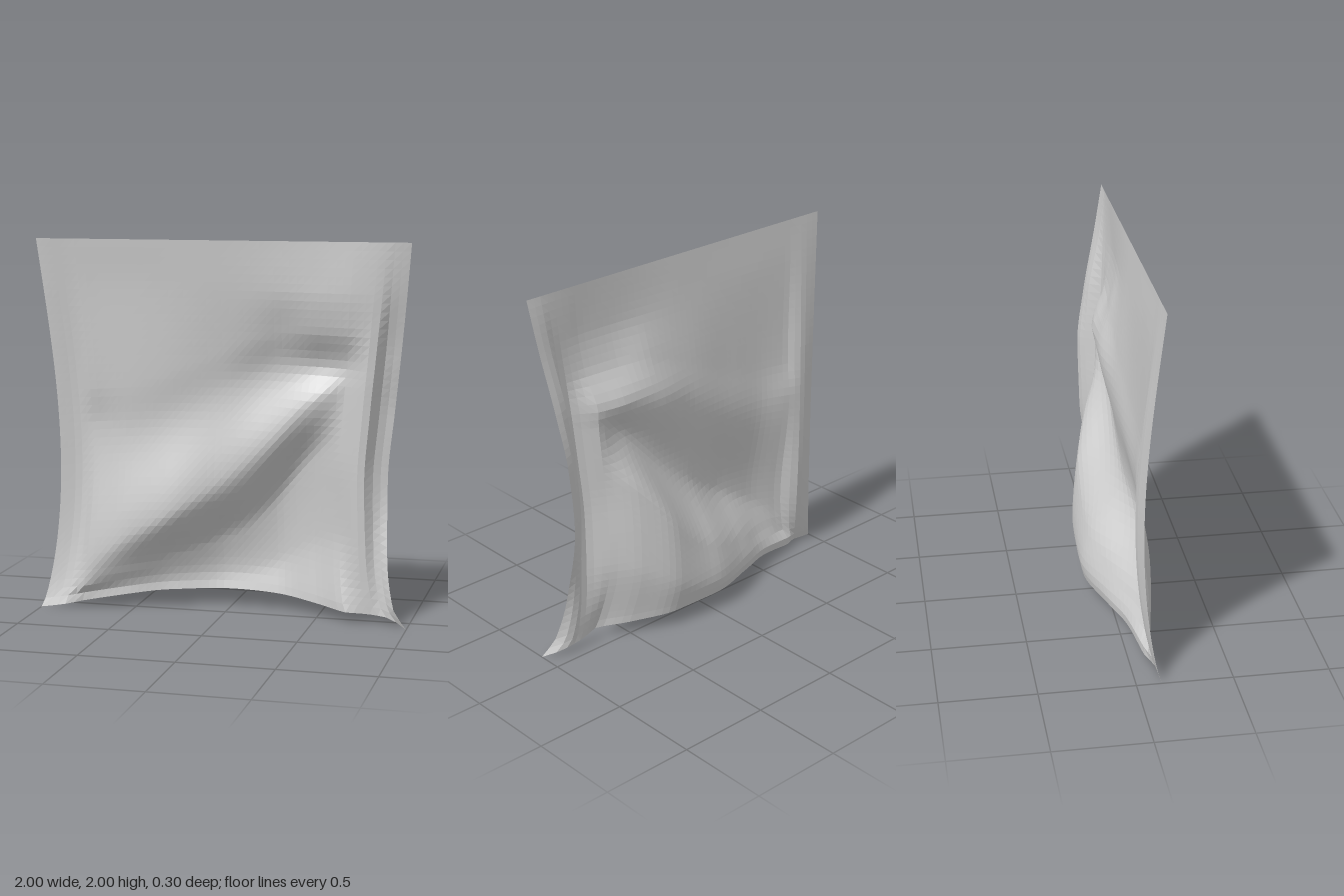
import * as THREE from 'three';

const { lerp, clamp, smoothstep } = THREE.MathUtils;

// Monotone cubic interpolation through points (xs, ys)
function curve(xs, ys) {
  const n = xs.length;
  const d = [];
  for (let i = 0; i < n - 1; i++) d.push((ys[i + 1] - ys[i]) / (xs[i + 1] - xs[i]));
  const m = xs.map((_, i) => {
    if (i === 0) return d[0];
    if (i === n - 1) return d[n - 2];
    return d[i - 1] * d[i] <= 0 ? 0 : (2 * d[i - 1] * d[i]) / (d[i - 1] + d[i]);
  });
  return (x) => {
    let i = 0;
    while (i < n - 2 && x > xs[i + 1]) i++;
    const h = xs[i + 1] - xs[i];
    const t = clamp((x - xs[i]) / h, 0, 1);
    const t2 = t * t, t3 = t2 * t;
    return (2 * t3 - 3 * t2 + 1) * ys[i] + (t3 - 2 * t2 + t) * h * m[i]
      + (3 * t2 - 2 * t3) * ys[i + 1] + (t3 - t2) * h * m[i + 1];
  };
}

// Fold lines of the middle of the cloth, running across it
const across = [-0.78, -0.55, -0.33, 0, 0.28, 0.52, 0.7];
const crestY = curve(across, [0.26, 0.42, 0.54, 0.74, 0.94, 1.15, 1.24]);
const crestZ = curve(across, [0.12, 0.15, 0.145, 0.09, 0.075, 0.07, 0.035]);
const troughZ = curve(across, [0.07, 0.025, -0.055, -0.145, -0.148, -0.085, 0.005]);
const valleyZ = curve(across, [0.04, 0.065, 0.055, 0.03, 0, 0, 0.025]);
const shoulderZ = curve(across, [0.07, 0.08, 0.075, 0.06, 0.06, 0.095, 0.11]);
const hemY = curve([-1, -0.33, 0.05, 0.72, 0.92, 1], [0, 0.095, 0.1, 0.06, 0.04, 0]);

// Folds along the left side, running upwards
const up = [0, 0.1, 0.35, 0.75, 1.1, 1.4, 1.75, 2];
const gutterZ = curve(up, [0.07, 0.05, 0.03, 0.005, -0.005, 0.02, 0.095, 0.13]);
const leftEdgeZ = curve(up, [0.13, 0.1, 0.045, -0.02, -0.025, 0.015, 0.085, 0.13]);
const leftWidth = curve(up, [1, 0.925, 0.883, 0.87, 0.9, 0.935, 0.975, 1]);
const pleatZ = (y) => lerp(0.055, 0.13, y / 2);

// Inward sag of the right side, 0 at both corners
const sag = (y) => Math.sin(Math.PI * Math.pow(y / 2, 0.75));

// Depth profile of the middle at station u: hem, trough, slope, crest, valley, shoulder, top
function middleProfile(u) {
  const footY = crestY(u) * (0.52 + 0.24 * smoothstep(u, 0, 0.7));
  const valleyY = 1 + 0.34 * smoothstep(u, -0.7, 0.5);
  const trough = troughZ(u);
  const hem = hemY(u);
  const troughY = Math.max(footY / 2, hem + 0.02);
  return curve(
    [hem, troughY, footY, crestY(u), valleyY, valleyY + 0.21, 1.75, 2],
    [trough + 0.2 * (troughY - hem), trough, trough + 0.045 - 0.02 * smoothstep(u, -0.2, 0.4),
      crestZ(u), valleyZ(u), shoulderZ(u), 0.105 + 0.03 * smoothstep(u, 0, 0.7), 0.13],
  );
}

// Depth of the cloth in column u, blending the middle into the side folds
function columnDepth(u) {
  const middle = middleProfile(clamp(u, -0.78, 0.7));
  return (y) => {
    if (u < -0.78) return curve([-1, -0.88, -0.78], [0.13 - 0.08 * sag(y), 0.13 - 0.105 * sag(y), middle(y)])(u);
    if (u > 0.7) return curve([0.7, 0.86, 0.93, 1], [middle(y), pleatZ(y), gutterZ(y), leftEdgeZ(y)])(u);
    return middle(y);
  };
}

export function createModel() {
  const group = new THREE.Group();
  group.name = 'drapedCloth';
  const columns = 48, rows = 44;
  const geometry = new THREE.PlaneGeometry(2, 2, columns, rows);
  const position = geometry.attributes.position;

  // Shape the sheet column by column, from the straight top edge to the hem
  for (let i = 0; i <= columns; i++) {
    const u = -1 + (2 * i) / columns;
    const depth = columnDepth(u);
    for (let j = 0; j <= rows; j++) {
      const y = lerp(2, hemY(u), j / rows);
      const width = u < 0 ? 1 - 0.095 * sag(y) : leftWidth(y);
      position.setXYZ(j * (columns + 1) + i, u * width, y, depth(y));
    }
  }
  geometry.computeVertexNormals();

  const cloth = new THREE.Mesh(geometry, new THREE.MeshStandardMaterial({
    color: 0xcccccc, flatShading: true, side: THREE.DoubleSide,
  }));
  cloth.name = 'cloth';
  group.add(cloth);
  return group;
}
